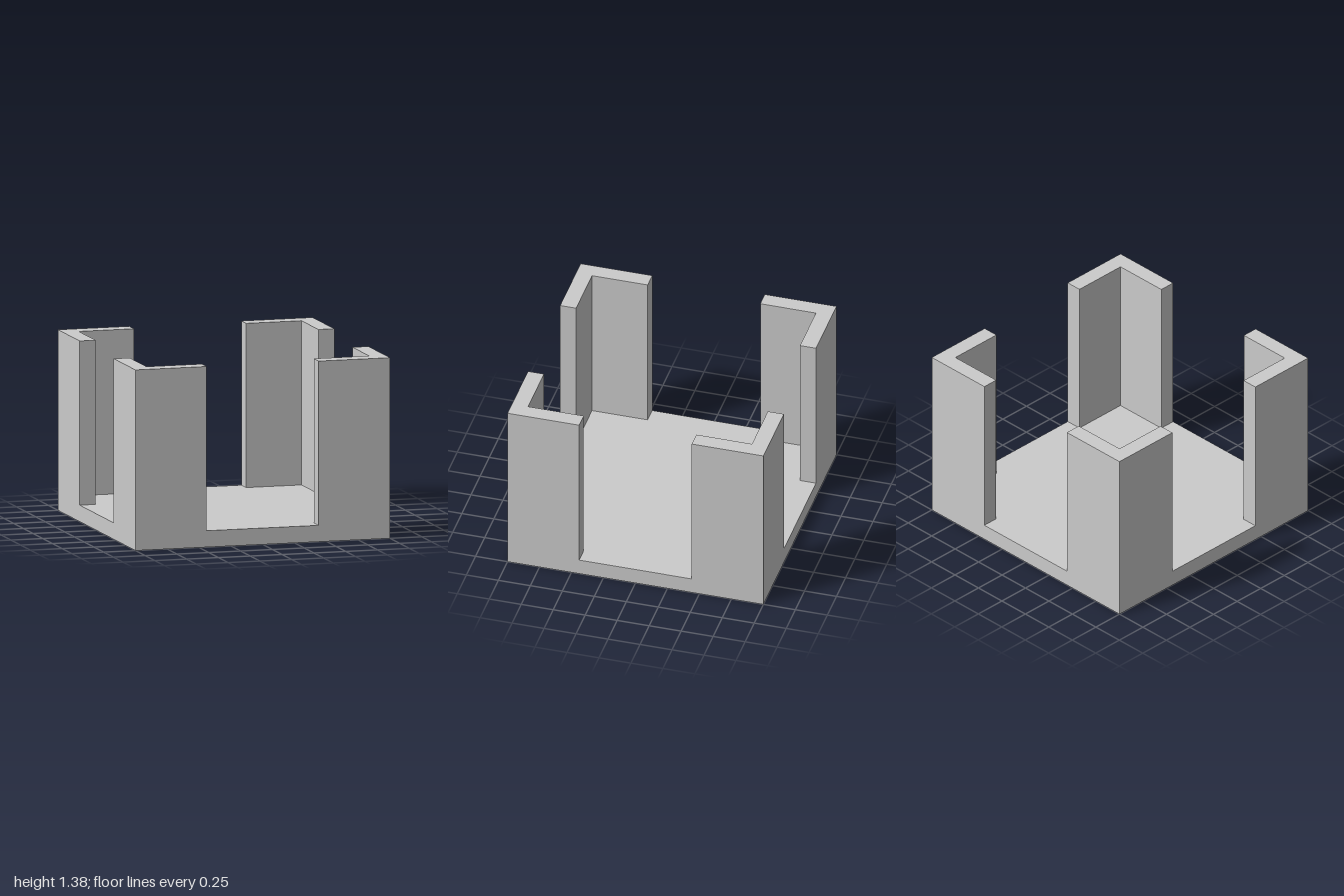
import * as THREE from 'three';

const HALF = 1;        // half the base width
const THICK = 0.125;   // base and wall thickness
const HEIGHT = 1.375;  // overall height
const GAP = 0.44;      // half the opening on each side

export function createModel() {
  const group = new THREE.Group();
  const material = new THREE.MeshStandardMaterial({ color: 0xcccccc });

  // Square base plate
  const base = new THREE.Mesh(new THREE.BoxGeometry(2 * HALF, THICK, 2 * HALF), material);
  base.name = 'basePlate';
  base.position.y = THICK / 2;
  group.add(base);

  // L-shaped corner wall, extruded upwards
  const inner = HALF - THICK;
  const outline = new THREE.Shape([
    [GAP, inner], [inner, inner], [inner, GAP],
    [HALF, GAP], [HALF, HALF], [GAP, HALF],
  ].map(([x, y]) => new THREE.Vector2(x, y)));
  const wall = new THREE.ExtrudeGeometry(outline, { depth: HEIGHT - THICK, bevelEnabled: false });
  wall.rotateX(-Math.PI / 2);

  // One wall at each corner
  ['backLeft', 'backRight', 'frontRight', 'frontLeft'].forEach((corner, i) => {
    const mesh = new THREE.Mesh(wall, material);
    mesh.name = corner + 'CornerWall';
    mesh.position.y = THICK;
    mesh.rotation.y = i * Math.PI / 2;
    group.add(mesh);
  });

  return group;
}
